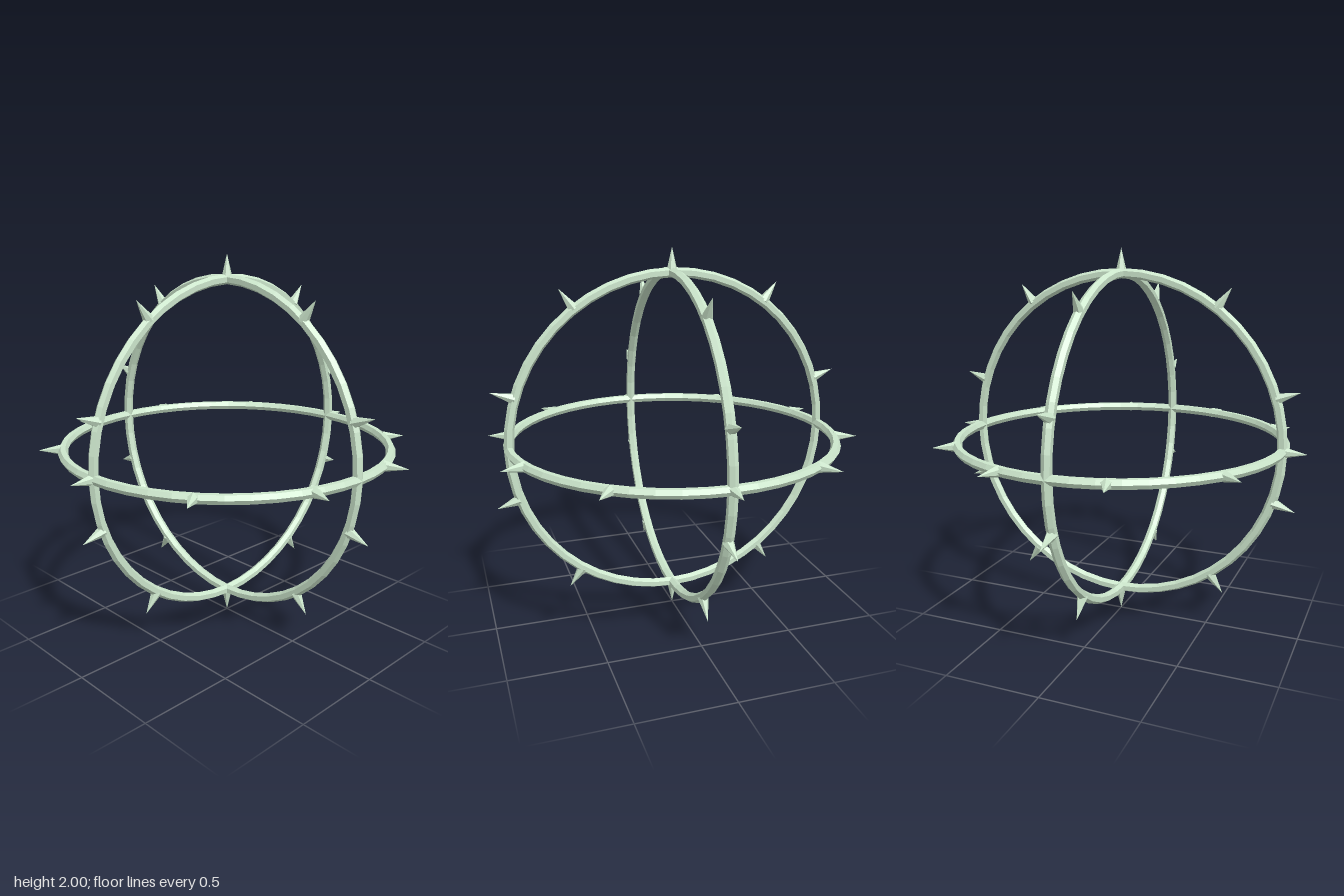
import * as THREE from 'three';

const RING_RADIUS = 0.872, TUBE_RADIUS = 0.026;
const SPIKE_BASE = 0.875, SPIKE_TIP = 1, SPIKE_RADIUS = 0.03;
const SPIKES = 10;

export function createModel() {
  const model = new THREE.Group();
  model.name = 'spikedRingSphere';
  const material = new THREE.MeshStandardMaterial({ color: 0xcce6cc, flatShading: true });

  // Hexagonal hoop, and a spike whose base sits in the hoop and points along +y
  const hoopGeometry = new THREE.TorusGeometry(RING_RADIUS, TUBE_RADIUS, 6, 48);
  const spikeGeometry = new THREE.ConeGeometry(SPIKE_RADIUS, SPIKE_TIP - SPIKE_BASE, 6);
  spikeGeometry.translate(0, (SPIKE_TIP + SPIKE_BASE) / 2, 0);

  // One hoop in the xy plane with evenly spaced outward spikes
  function makeRing(name, firstAngle, skipPoles) {
    const ring = new THREE.Group();
    ring.name = name;
    const hoop = new THREE.Mesh(hoopGeometry, material);
    hoop.name = name + 'Hoop';
    ring.add(hoop);
    for (let i = 0; i < SPIKES; i++) {
      const angle = firstAngle + (i / SPIKES) * Math.PI * 2;
      if (skipPoles && Math.abs(Math.cos(angle)) < 0.01) continue;
      const spike = new THREE.Mesh(spikeGeometry, material);
      spike.name = name + 'Spike' + (i + 1);
      spike.rotation.z = angle - Math.PI / 2;
      ring.add(spike);
    }
    ring.position.y = 1;
    model.add(ring);
    return ring;
  }

  // Two upright rings share the pole spikes; the level ring has spikes on the x axis
  makeRing('frontRing', Math.PI / 10, false);
  makeRing('sideRing', Math.PI / 10, true).rotation.y = Math.PI / 2;
  makeRing('levelRing', 0, false).rotation.x = Math.PI / 2;

  return model;
}
